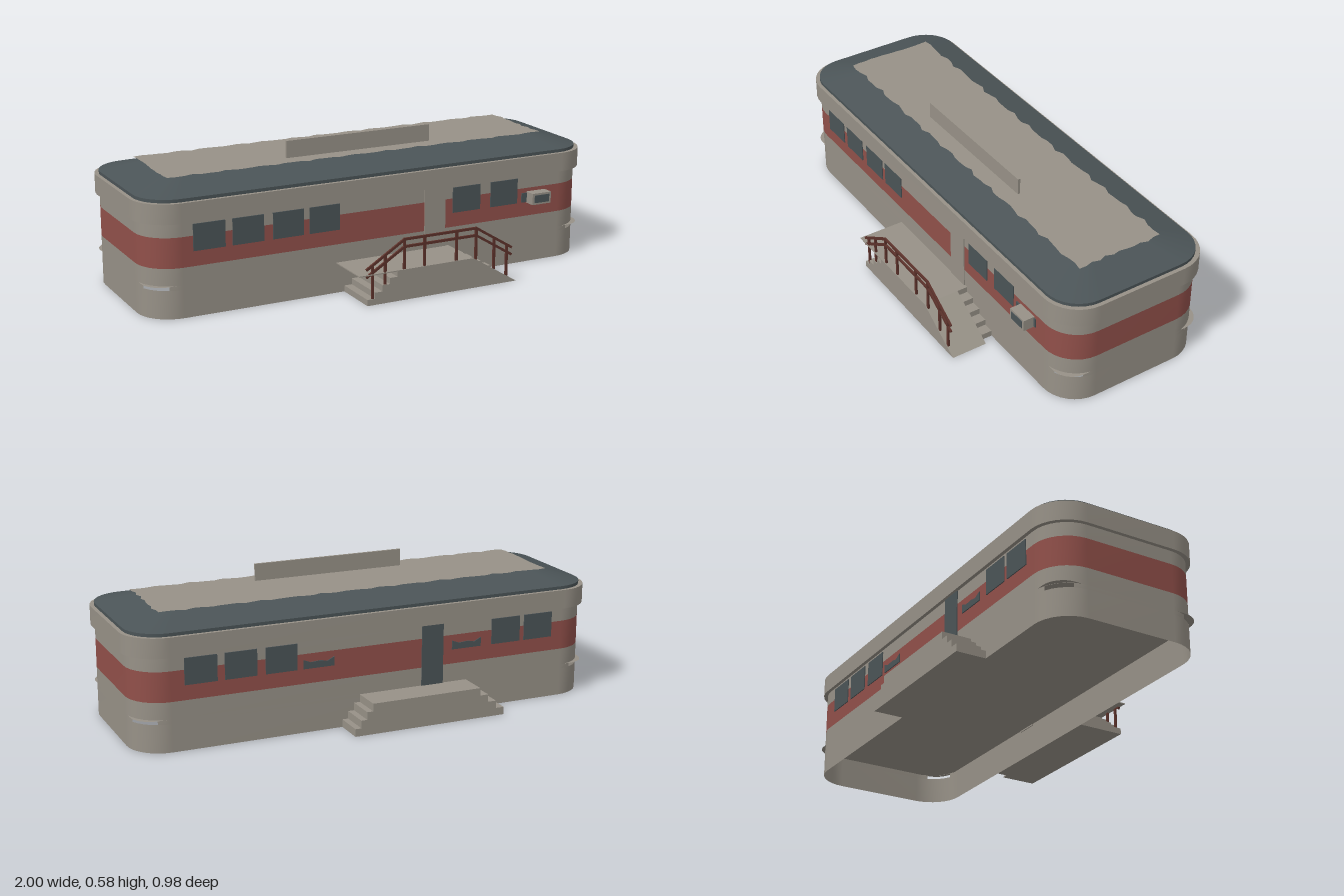
import * as THREE from 'three';

const mat = (name, color) => {
  const m = new THREE.MeshStandardMaterial({ color, side: THREE.DoubleSide });
  m.name = name;
  return m;
};

// Rounded rectangle as [x, z] points, counter-clockwise from above, 9 points per corner
const SEG = 8;
function outline(hx, zBack, zFront, r) {
  const pts = [];
  const corners = [[hx - r, zFront - r, -90], [hx - r, zBack + r, 0], [r - hx, zBack + r, 90], [r - hx, zFront - r, 180]];
  for (const [cx, cz, start] of corners) {
    for (let i = 0; i <= SEG; i++) {
      const a = THREE.MathUtils.degToRad(start + (90 * i) / SEG);
      pts.push([cx + r * Math.cos(a), cz - r * Math.sin(a)]);
    }
  }
  return pts;
}

// Strip of surface between two outlines; skip(i) leaves openings
function strip(lower, y0, upper, y1, skip = () => false) {
  const n = lower.length, pos = [], idx = [];
  lower.forEach(([x, z]) => pos.push(x, y0, z));
  upper.forEach(([x, z]) => pos.push(x, y1, z));
  for (let i = 0; i < n; i++) {
    const j = (i + 1) % n;
    if (!skip(i)) idx.push(i, j, n + j, i, n + j, n + i);
  }
  const g = new THREE.BufferGeometry();
  g.setAttribute('position', new THREE.Float32BufferAttribute(pos, 3));
  g.setIndex(idx);
  g.computeVertexNormals();
  return g;
}

// Flat horizontal sheet with the given outline
function sheet(pts, y) {
  const shape = new THREE.Shape(pts.map(([x, z]) => new THREE.Vector2(x, -z)));
  return new THREE.ShapeGeometry(shape).rotateX(-Math.PI / 2).translate(0, y, 0);
}

// Side profile in x, y pushed from z0 to z1
function profile(pts, z0, z1) {
  const shape = new THREE.Shape(pts.map(([x, y]) => new THREE.Vector2(x, y)));
  return new THREE.ExtrudeGeometry(shape, { depth: z1 - z0, bevelEnabled: false }).translate(0, 0, z0);
}

// Points of a stair rising from (x0, 0) to (x1, h)
function stair(x0, x1, h, n) {
  const pts = [[x0, 0]];
  for (let i = 0; i < n; i++) {
    const y = (h * (i + 1)) / n;
    pts.push([x0 + ((x1 - x0) * i) / n, y], [x0 + ((x1 - x0) * (i + 1)) / n, y]);
  }
  return pts;
}

export function createModel() {
  const grey = mat('warm grey panel', 0x979187);
  const red = mat('red band', 0x91504a);
  const slate = mat('dark slate', 0x4b5457);
  const brown = mat('brown rail', 0x5c322b);

  const root = new THREE.Group();
  const add = (name, geometry, material, parent = root) => {
    const m = new THREE.Mesh(geometry, material);
    m.name = name;
    parent.add(m);
    return m;
  };
  const box = (name, x0, x1, y0, y1, z0, z1, material, parent) => {
    const g = new THREE.BoxGeometry(x1 - x0, y1 - y0, z1 - z0);
    return add(name, g.translate((x0 + x1) / 2, (y0 + y1) / 2, (z0 + z1) / 2), material, parent);
  };

  // Walls, with a slot round each corner of the skirt
  const BACK = -0.365, FRONT = 0.29, STEP = 0.125;
  const wall = outline(0.982, BACK, FRONT, 0.14);
  const slot = (i) => i % (SEG + 1) >= 2 && i % (SEG + 1) <= 5;
  add('skirt', strip(wall, 0, wall, 0.113), grey);
  add('slottedSkirt', strip(wall, 0.113, wall, 0.13, slot), grey);
  add('lowerWall', strip(wall, 0.13, wall, 0.2), grey);
  add('bandWall', strip(wall, 0.2, wall, 0.32), red);
  add('upperWall', strip(wall, 0.32, wall, 0.376), grey);
  add('floor', sheet(outline(0.98, BACK + 0.002, FRONT - 0.002, 0.085), 0.131), grey);

  // Eave
  const eave = outline(0.998, -0.38, 0.305, 0.15);
  add('eaveFascia', strip(eave, 0.376, eave, 0.455), grey);
  add('eaveSoffit', sheet(eave, 0.376), grey);
  add('eaveTop', sheet(eave, 0.455), grey);

  // Sloping roof with a ragged-edged flat cover
  const roofTop = outline(0.83, -0.212, 0.132, 0.06);
  add('roofLip', strip(wall, 0.455, wall, 0.468), slate);
  add('roofSlope', strip(wall, 0.468, roofTop, 0.511), slate);
  add('roofDeck', sheet(roofTop, 0.511), slate);
  const cover = [];
  const wave = (t) => 0.006 * Math.sin(t * 19) + 0.004 * Math.sin(t * 41);
  const N = 48, M = 12;
  for (let i = 0; i < N; i++) cover.push([-0.84 + (1.68 * i) / N, 0.142 + wave(i / 12)]);
  for (let i = 0; i < M; i++) cover.push([0.842 + wave(i / 7), 0.142 - (0.372 * i) / M]);
  for (let i = 0; i < N; i++) cover.push([0.84 - (1.68 * i) / N, -0.23 + wave(i / 11)]);
  for (let i = 0; i < M; i++) cover.push([-0.842 + wave(i / 6), -0.23 + (0.372 * i) / M]);
  add('roofCover', sheet(cover, 0.513), grey);
  box('roofBoard', -0.31, 0.34, 0.508, 0.583, 0.062, 0.072, grey);

  // Windows and doors as thin plates
  const windows = new THREE.Group();
  windows.name = 'windows';
  root.add(windows);
  const W = 0.13, T = 0.004;
  for (const x of [-0.8, -0.64, -0.472, -0.317, 0.328, 0.508])
    box('frontWindow', x, x + W, 0.26, 0.366, FRONT - T, FRONT + T, slate, windows);
  for (const x of [0.66, 0.5, 0.335, -0.645, -0.795])
    box('backWindow', x, x + W, 0.26, 0.366, BACK - T, BACK + T, slate, windows);
  for (const x of [0.18, -0.465]) {
    const pts = [[x, 0.26], [x + W, 0.26], [x + W, 0.297], [x + 0.1, 0.285], [x + 0.06, 0.288], [x + 0.03, 0.282], [x, 0.297]];
    add('backLowWindow', profile(pts, BACK - T, BACK + T), slate, windows);
  }
  box('frontDoor', 0.197, 0.293, STEP, 0.376, FRONT - T, FRONT + T, grey);
  box('backDoor', -0.295, -0.2, STEP, 0.376, BACK - T, BACK + T, slate);

  // Wall unit beside the front windows
  box('wallUnit', 0.685, 0.775, 0.257, 0.305, FRONT, 0.338, grey);
  box('wallUnitGrille', 0.695, 0.765, 0.265, 0.297, 0.337, 0.341, slate);
  box('wallUnitBracket', 0.66, 0.785, 0.26, 0.3, FRONT - T, FRONT + T, slate);

  // Front landing: stair on one end, ramp and narrow stair on the other
  const OUT = 0.487, SPLIT = 0.335;
  box('frontLanding', 0, 0.31, 0, STEP, FRONT, OUT, grey);
  add('frontStair', profile([...stair(-0.165, 0, STEP, 5), [0, 0]], FRONT, OUT), grey);
  box('frontLandingSheet', -0.2, 0, STEP - 0.004, STEP, FRONT, OUT, grey);
  add('frontRamp', profile([[0.31, 0], [0.515, 0], [0.31, STEP]], SPLIT, OUT), grey);
  add('frontNarrowStair', profile([...stair(0.487, 0.31, 0.1, 4), [0.31, 0]], FRONT, SPLIT), grey);

  // Back landing with a stair at each end
  const landing = [...stair(-0.51, -0.365, STEP, 4), ...stair(0.145, 0.045, STEP, 4).reverse()];
  add('backLanding', profile(landing, -0.49, BACK), grey);

  // Handrail along the front landing
  const rail = new THREE.Group();
  rail.name = 'handrail';
  root.add(rail);
  const RZ = 0.48, RW = 0.01;
  const path = [[-0.165, 0.145], [0, 0.246], [0.325, 0.246], [0.49, 0.145]];
  for (const drop of [0, 0.03]) {
    for (let i = 0; i < 3; i++) {
      const [ax, ay] = path[i], [bx, by] = path[i + 1];
      const bar = add('railBar', new THREE.BoxGeometry(Math.hypot(bx - ax, by - ay) + 0.006, RW, 0.008), brown, rail);
      bar.position.set((ax + bx) / 2, (ay + by) / 2 - drop, RZ);
      bar.rotation.z = Math.atan2(by - ay, bx - ax);
    }
  }
  const posts = [[-0.14, 0.025, 0.155], [-0.085, 0.07, 0.19], [0, STEP, 0.246], [0.09, STEP, 0.246],
    [0.235, STEP, 0.246], [0.325, 0.115, 0.246], [0.41, 0.063, 0.195], [0.47, 0.027, 0.155]];
  for (const [x, y0, y1] of posts) box('railPost', x - 0.005, x + 0.005, y0, y1, RZ - 0.004, RZ + 0.004, brown, rail);

  return root;
}
